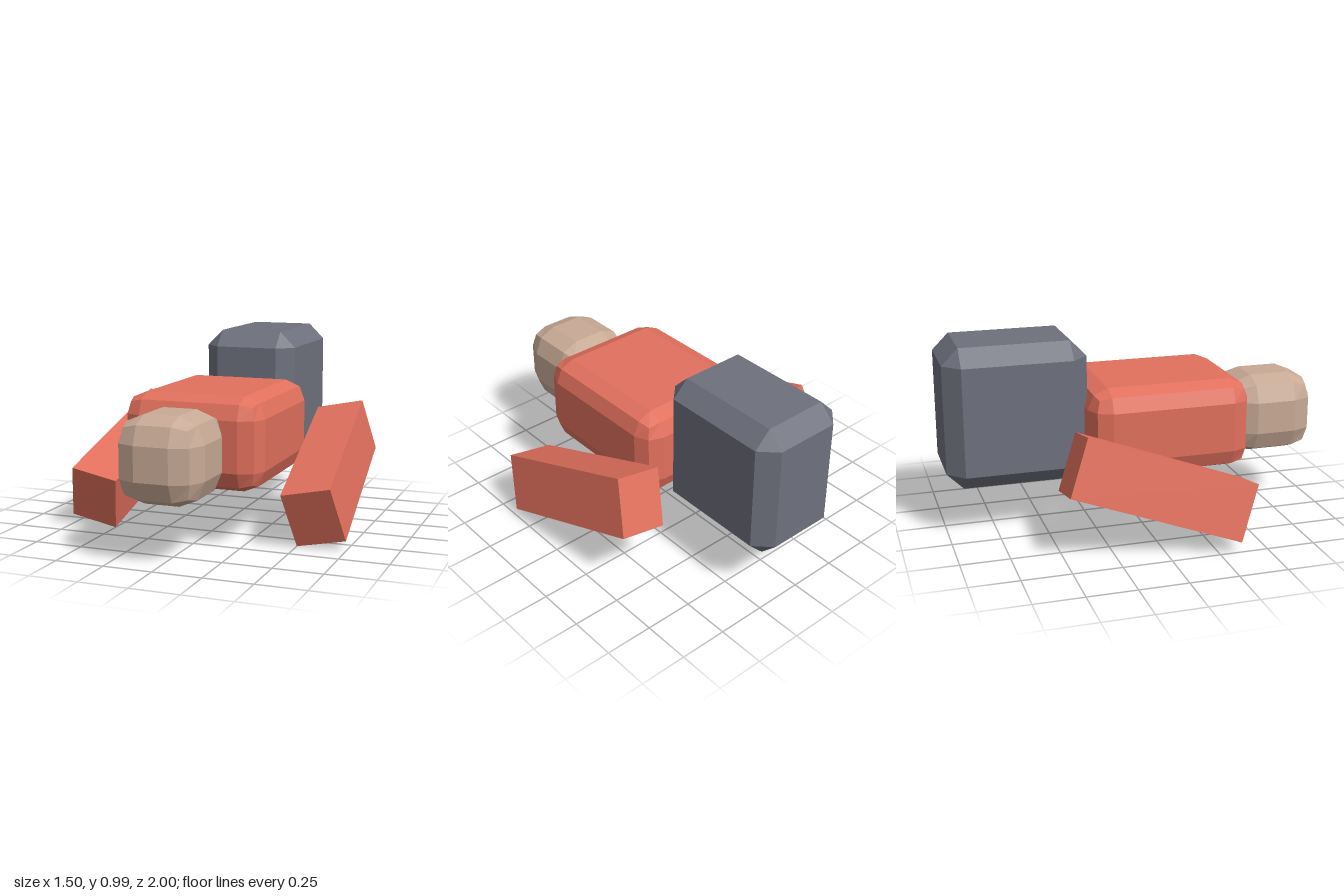
import * as THREE from 'three';
import { RoundedBoxGeometry } from 'three/addons/geometries/RoundedBoxGeometry.js';
import { ConvexGeometry } from 'three/addons/geometries/ConvexGeometry.js';

const mat = (color) => new THREE.MeshStandardMaterial({ color, flatShading: true });

// Box with every edge cut by one flat chamfer
function chamferBox(w, h, d, c) {
  const points = [];
  for (const x of [-1, 1]) for (const y of [-1, 1]) for (const z of [-1, 1]) {
    for (let axis = 0; axis < 3; axis++) {
      const inset = [c, c, c];
      inset[axis] = 0;
      points.push(new THREE.Vector3(x * (w / 2 - inset[0]), y * (h / 2 - inset[1]), z * (d / 2 - inset[2])));
    }
  }
  return new ConvexGeometry(points);
}

export function createModel() {
  const model = new THREE.Group();
  model.name = 'lyingFigure';
  const red = mat(0xe2705d);
  const skin = mat(0xc8aa96);
  const grey = mat(0x6e717d);

  const add = (name, geometry, material, x, y, z) => {
    const mesh = new THREE.Mesh(geometry, material);
    mesh.name = name;
    mesh.position.set(x, y, z);
    model.add(mesh);
    return mesh;
  };

  // Body, head and the chamfered rear block
  add('torso', new RoundedBoxGeometry(0.73, 0.472, 0.86, 1, 0.107), red, 0, 0.521, 0.14);
  add('head', new RoundedBoxGeometry(0.43, 0.426, 0.47, 1, 0.128), skin, 0, 0.502, 0.765);
  add('rearBlock', chamferBox(0.51, 0.73, 0.73, 0.085), grey, 0, 0.63, -0.635);

  // Arms slope down to the front and splay outward
  for (const side of [1, -1]) {
    const arm = add(side > 0 ? 'leftArm' : 'rightArm', new THREE.BoxGeometry(0.255, 0.3, 0.907), red, side * 0.566, 0.319, -0.012);
    arm.rotation.set(0.35, 0, side * 0.2, 'ZYX');
  }
  return model;
}
